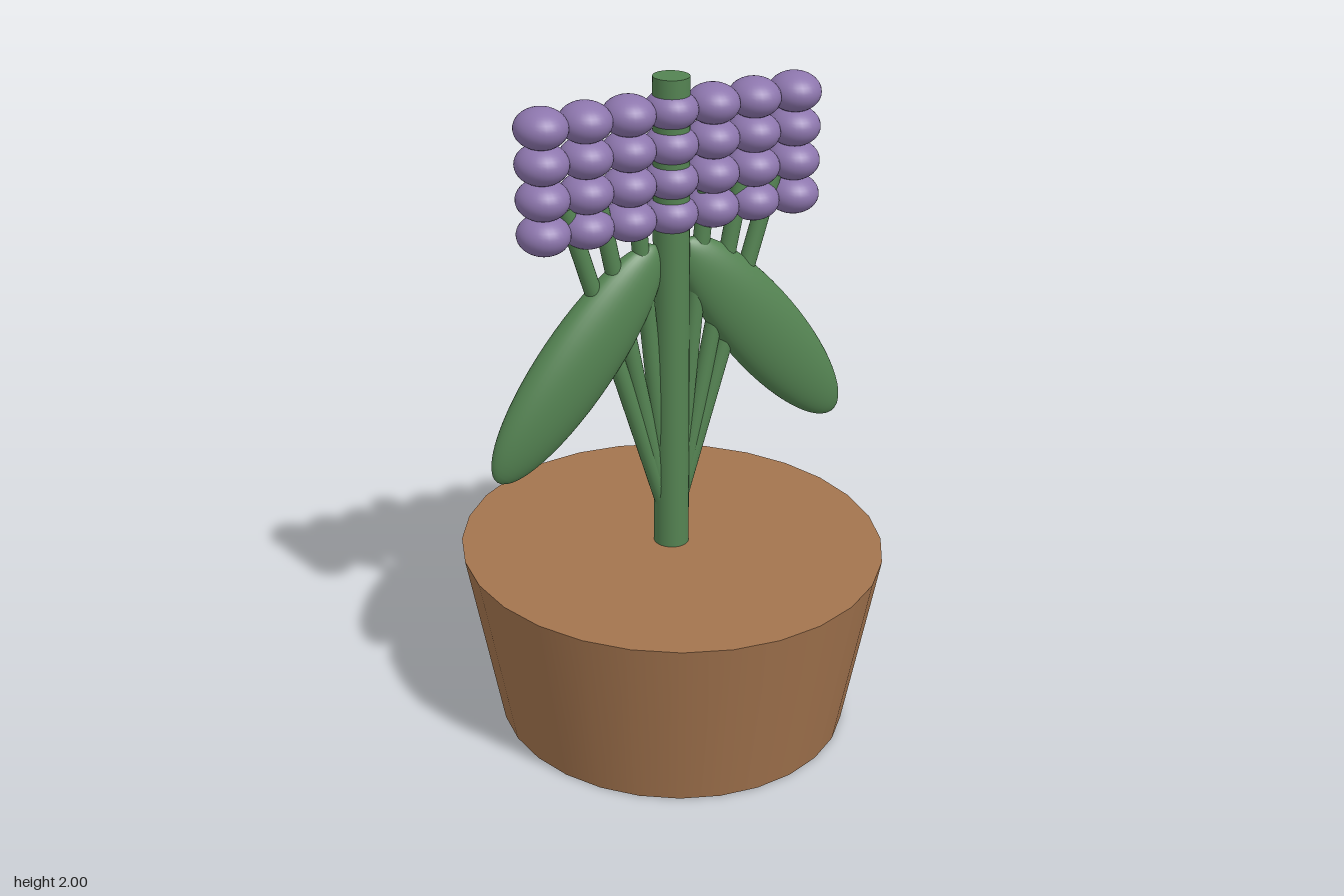
import * as THREE from 'three';

const material = (name, color) => {
  const m = new THREE.MeshStandardMaterial({ color });
  m.name = name;
  return m;
};

export function createModel() {
  const model = new THREE.Group();
  model.name = 'pottedFlower';
  const clay = material('clay brown', 0xa3744e);
  const green = material('leaf green', 0x548352);
  const purple = material('blossom purple', 0x8d76ad);

  const add = (name, geometry, mat, x, y, parent = model) => {
    const mesh = new THREE.Mesh(geometry, mat);
    mesh.name = name;
    mesh.position.set(x, y, 0);
    parent.add(mesh);
    return mesh;
  };

  // Tapered pot, slightly oval
  const pot = add('pot', new THREE.CylinderGeometry(1, 0.835, 0.56, 28), clay, 0, 0.28);
  pot.scale.set(0.627, 1, 0.665);

  // Main stem
  const stem = add('mainStem', new THREE.CylinderGeometry(1, 1, 1.46, 28), green, 0, 1.27);
  stem.scale.set(0.052, 1, 0.055);

  // Thin stems fanning out on both sides
  const fan = [[0.1, 0.54], [0.2, 0.56], [0.3, 0.61]];
  for (const side of [-1, 1]) {
    for (const [tilt, base] of fan) {
      const rise = 1.67 - base;
      const twig = add('thinStem', new THREE.CylinderGeometry(0.025, 0.025, rise / Math.cos(tilt), 20),
        green, side * Math.tan(tilt) * rise / 2, base + rise / 2);
      twig.rotation.z = -side * tilt;
    }

    // Drooping leaf
    const leaf = add('leaf', new THREE.SphereGeometry(1, 40, 28), green, side * 0.3, 1.195);
    leaf.scale.set(0.12, 0.408, 0.068);
    leaf.rotation.z = side * 0.68;
  }

  // Blossoms in a flat grid
  const blossoms = new THREE.Group();
  blossoms.name = 'blossoms';
  model.add(blossoms);
  const bud = new THREE.SphereGeometry(1, 28, 20);
  for (let row = 0; row < 4; row++) {
    for (let col = -3; col <= 3; col++) {
      add('blossom', bud, purple, col * 0.131, 1.602 + row * 0.101, blossoms).scale.set(0.076, 0.058, 0.081);
    }
  }
  return model;
}
